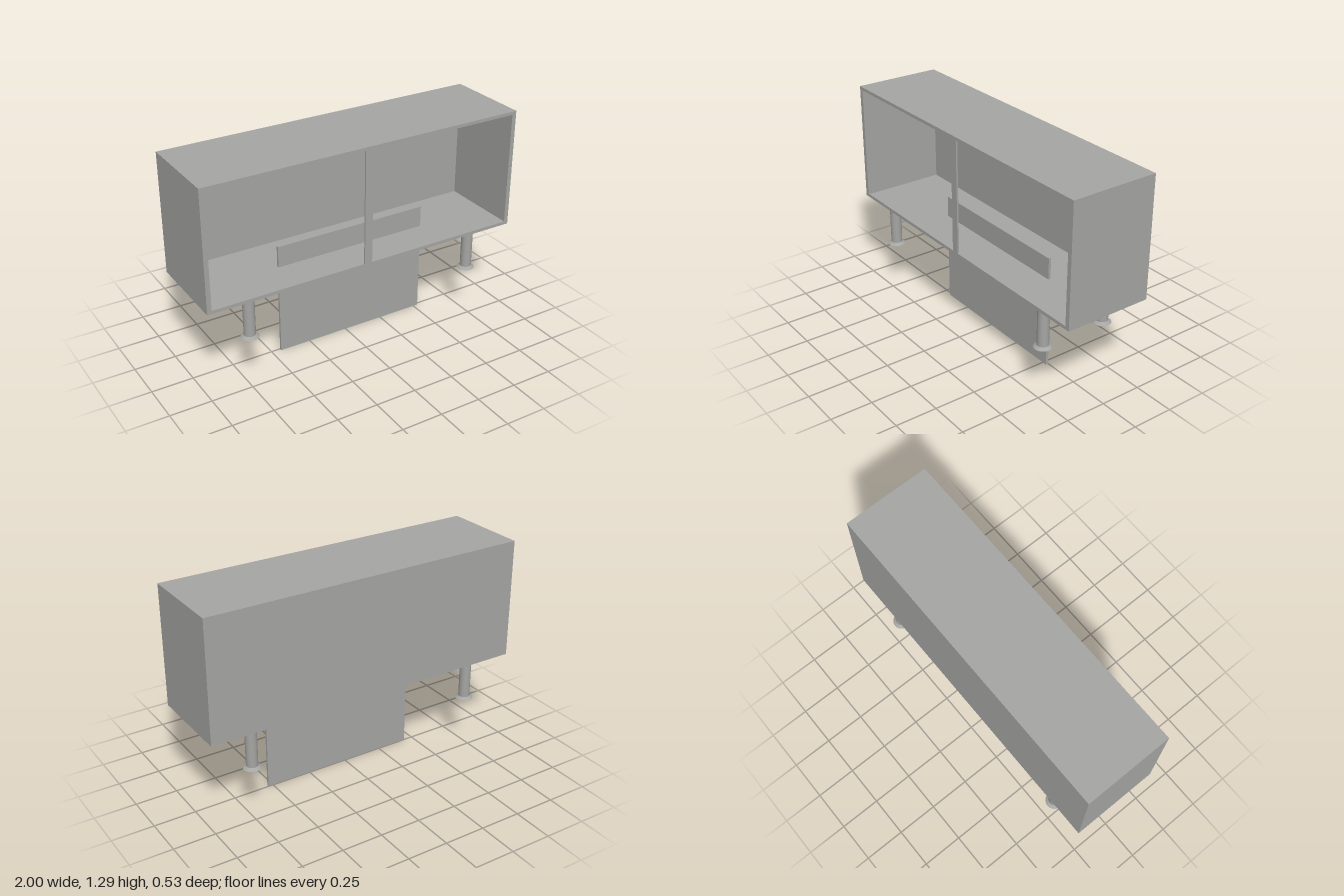
import * as THREE from 'three';

export function createModel() {
  const model = new THREE.Group();
  model.name = 'sideboard';
  const grey = new THREE.MeshStandardMaterial({ color: 0xa5a5a3, side: THREE.DoubleSide });
  grey.name = 'warm grey';

  const add = (name, geometry, x, y, z, parent = model) => {
    const mesh = new THREE.Mesh(geometry, grey);
    mesh.name = name;
    mesh.position.set(x, y, z);
    parent.add(mesh);
    return mesh;
  };

  const bottom = 0.56, top = 1.29, depth = 0.534, frameDepth = 0.01;

  // Thin-walled cabinet shell, open at the front (the +z face is dropped)
  const shell = new THREE.BoxGeometry(2, top - bottom, depth - frameDepth);
  const faces = Array.from(shell.index.array);
  faces.splice(24, 6);
  shell.setIndex(faces);
  shell.clearGroups();
  add('cabinetShell', shell, 0, (top + bottom) / 2, -frameDepth / 2);

  // Front frame with two openings and a shallow centre post
  const rectangle = (target, x0, x1, y0, y1) => {
    target.moveTo(x0, y0);
    target.lineTo(x1, y0);
    target.lineTo(x1, y1);
    target.lineTo(x0, y1);
    target.closePath();
    return target;
  };
  const frame = rectangle(new THREE.Shape(), -1, 1, bottom, top);
  for (const [x0, x1] of [[-0.973, -0.026], [0.022, 0.973]]) {
    frame.holes.push(rectangle(new THREE.Path(), x0, x1, bottom + 0.02, top - 0.02));
  }
  add('frontFrame',
    new THREE.ExtrudeGeometry(frame, { depth: frameDepth, bevelEnabled: false }),
    0, 0, depth / 2 - frameDepth);

  // Upright panel passing through the cabinet floor
  add('uprightPanel', new THREE.BoxGeometry(0.973, 0.69, 0.015), 0.043, 0.345, 0.009);

  // Four round legs with flared feet
  const footBottom = 0.314, footHeight = 0.014;
  const legHeight = bottom - footBottom - footHeight;
  const legGeometry = new THREE.CylinderGeometry(0.034, 0.034, legHeight, 24);
  const footGeometry = new THREE.CylinderGeometry(0.034, 0.053, footHeight, 24);
  for (const x of [-0.736, 0.736]) {
    for (const z of [0.215, -0.205]) {
      const leg = new THREE.Group();
      leg.name = (z > 0 ? 'front' : 'back') + (x > 0 ? 'Left' : 'Right') + 'Leg';
      leg.position.set(x, 0, z);
      add('legPost', legGeometry, 0, bottom - legHeight / 2, 0, leg);
      add('legFoot', footGeometry, 0, footBottom + footHeight / 2, 0, leg);
      model.add(leg);
    }
  }
  return model;
}
